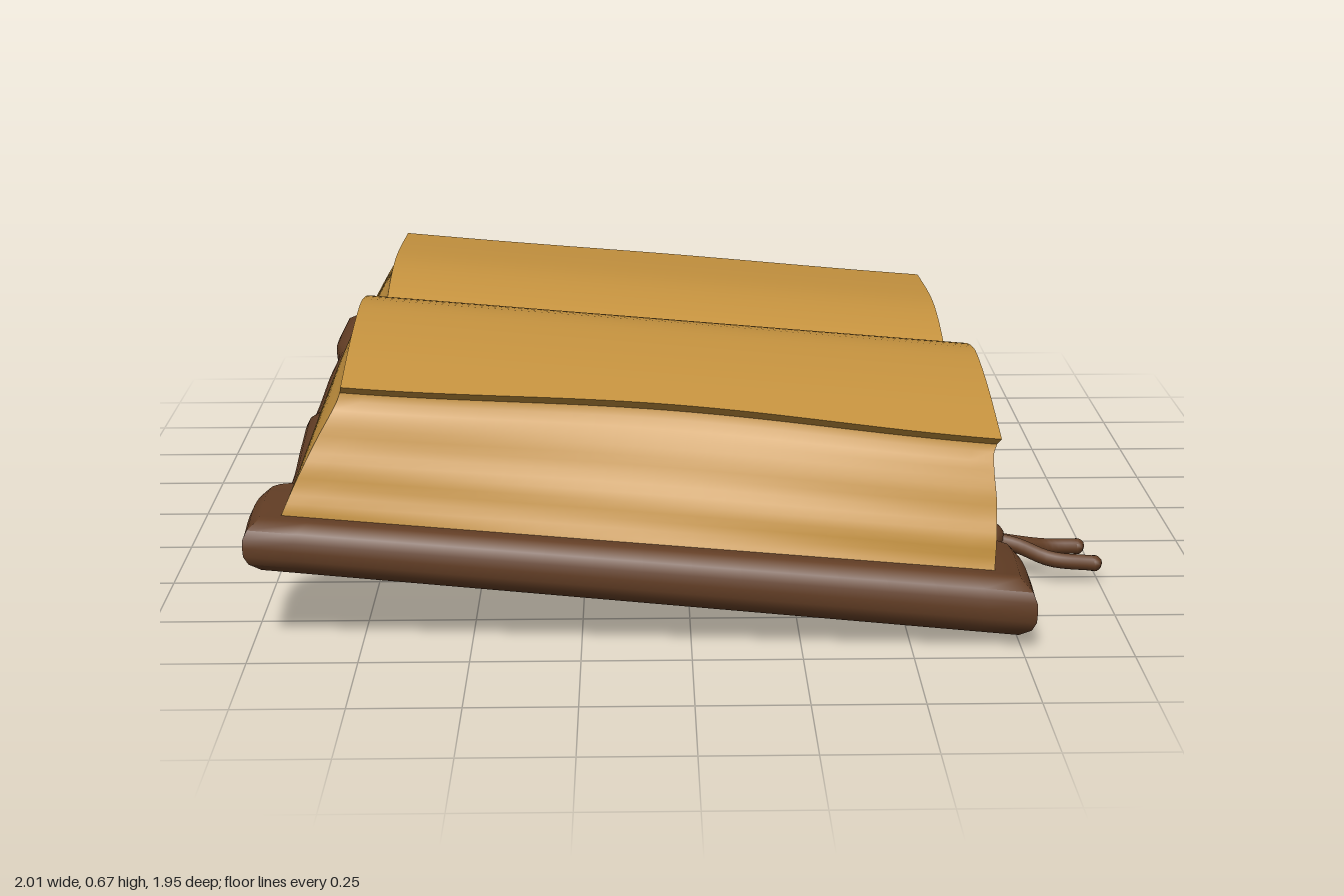
import * as THREE from 'three';
import { toCreasedNormals } from 'three/addons/utils/BufferGeometryUtils.js';

const lerp = THREE.MathUtils.lerp;

// Smooth value from a short table of [position, value] rows
function along(table, p) {
  const n = table.length - 1;
  if (p <= table[0][0]) return table[0][1];
  if (p >= table[n][0]) return table[n][1];
  let i = 0;
  while (p > table[i + 1][0]) i++;
  const slope = (k) => {
    const a = table[Math.max(k - 1, 0)], b = table[Math.min(k + 1, n)];
    return (b[1] - a[1]) / (b[0] - a[0]);
  };
  const [x0, y0] = table[i], [x1, y1] = table[i + 1];
  const w = x1 - x0, t = (p - x0) / w, t2 = t * t, t3 = t2 * t;
  return (2 * t3 - 3 * t2 + 1) * y0 + (t3 - 2 * t2 + t) * w * slope(i)
    + (3 * t2 - 2 * t3) * y1 + (t3 - t2) * w * slope(i + 1);
}

// Unit box whose vertices (0..1 on each axis) are moved by a rule
function shapedBox(sx, sy, sz, rule, crease) {
  const geo = new THREE.BoxGeometry(1, 1, 1, sx, sy, sz);
  const pos = geo.attributes.position;
  for (let i = 0; i < pos.count; i++) {
    const p = rule(pos.getX(i) + 0.5, pos.getY(i) + 0.5, pos.getZ(i) + 0.5);
    pos.setXYZ(i, p[0], p[1], p[2]);
  }
  return toCreasedNormals(geo, crease);
}

// Cover heights at the low end (x = 0.75); the whole book rises towards -x
const COVER_TOP = [[-0.98, 0.135], [-0.45, 0.135], [-0.3, 0.12], [-0.15, 0.105], [-0.02, 0.12], [0.08, 0.155], [0.2, 0.172], [0.5, 0.165], [0.97, 0.168]];
const COVER_BOTTOM = [[-0.98, 0.012], [-0.6, 0.022], [-0.38, 0.025], [-0.26, 0.004], [-0.12, 0.006], [0.02, 0.03], [0.15, 0.038], [0.97, 0.03]];
// Cover outline: wider at the corners and the spine
const COVER_RIGHT = [[-0.98, 0.77], [-0.75, 0.77], [-0.73, 0.735], [-0.5, 0.705], [-0.31, 0.72], [-0.27, 0.77], [-0.1, 0.778], [0.02, 0.77], [0.07, 0.73], [0.4, 0.73], [0.7, 0.735], [0.72, 0.78], [0.97, 0.78]];
const COVER_LEFT = [[-0.98, -0.985], [-0.72, -0.985], [-0.6, -0.965], [-0.1, -0.975], [0.3, -0.955], [0.69, -0.95], [0.72, -1], [0.97, -1]];

const coverTopY = (x, z) => along(COVER_TOP, z) - 0.09 * (x - 0.75);

// Page surface heights at x = 0.7, on both sides of the gutter
const GUTTER = -0.12;
const PAGE_TOP = {
  front: [[-0.12, 0.32], [-0.05, 0.375], [0.05, 0.45], [0.15, 0.5], [0.3, 0.535], [0.4, 0.54], [0.6, 0.515], [0.83, 0.465]],
  back: [[-0.89, 0.42], [-0.6, 0.438], [-0.45, 0.435], [-0.3, 0.408], [-0.2, 0.372], [-0.12, 0.32]],
};
// Outlines of the page edges from bottom (0) to top (1)
const EDGE = {
  front: [[0, 0.9], [0.2, 0.885], [0.5, 0.85], [0.8, 0.812], [0.92, 0.79], [1, 0.81]],
  back: [[0, -0.91], [0.15, -0.885], [0.5, -0.865], [0.88, -0.855], [1, -0.885]],
};
const LEFT_END = [[0, -0.925], [0.3, -0.885], [0.6, -0.84], [0.88, -0.795], [1, -0.785]];
const RIGHT_END = [[0, 0.69], [0.5, 0.695], [0.85, 0.69], [1, 0.705]];

export function createModel() {
  const book = new THREE.Group();
  book.name = 'openBook';
  const leather = new THREE.MeshStandardMaterial({ color: 0x633e25 });
  leather.name = 'brownLeather';
  const paper = new THREE.MeshStandardMaterial({ color: 0xc6933f });
  paper.name = 'agedPaper';
  const add = (name, geo, mat, parent = book) => {
    const mesh = new THREE.Mesh(geo, mat);
    mesh.name = name;
    parent.add(mesh);
    return mesh;
  };

  // Cover: a slab with rounded rims and a sagging spine
  add('cover', shapedBox(16, 6, 90, (u, v, w) => {
    const z0 = lerp(-0.98, 0.97, w);
    const inset = 0.035 * Math.pow(Math.abs(2 * v - 1), 3);
    const x = lerp(along(COVER_LEFT, z0) + inset, along(COVER_RIGHT, z0) - inset, u);
    const low = along(COVER_BOTTOM, z0) - 0.1 * (x - 0.75);
    return [x, lerp(low, coverTopY(x, z0), v), lerp(-0.98 + inset, 0.97 - inset, w)];
  }, 1.0), leather);

  // Page blocks: bulging tops, hollow flared sides
  for (const side of ['front', 'back']) {
    add(side + 'Pages', shapedBox(28, 16, 28, (u, v, w) => {
      const x = lerp(along(LEFT_END, v), along(RIGHT_END, v), u);
      const wobble = side === 'front' ? 0.02 * v * Math.cos(u * Math.PI * 2) : 0.006 * v * Math.sin(u * 9);
      const ripple = 0.004 * Math.sin(v * Math.PI * 6 + u * 3) * (1 - v);
      const edge = along(EDGE[side], v) + wobble + ripple;
      const rim = along(EDGE[side], 1) + wobble;
      const across = (e) => side === 'front' ? lerp(GUTTER, e, w) : lerp(e, GUTTER, w);
      const z = across(edge);
      const top = along(PAGE_TOP[side], across(rim)) - 0.088 * (x - 0.7);
      return [x, lerp(coverTopY(x, z) - 0.01, top, v), z];
    }, 0.7), paper);
  }

  // Ribbon bookmark: two tails leaving one knot under the cover edge
  const bookmark = new THREE.Group();
  bookmark.name = 'bookmark';
  book.add(bookmark);
  const tails = [
    [[0.7, 0.1, 0.47], [0.8, 0.085, 0.48], [0.88, 0.065, 0.45], [0.96, 0.06, 0.44]],
    [[0.7, 0.1, 0.47], [0.8, 0.085, 0.495], [0.88, 0.065, 0.54], [0.985, 0.055, 0.545]],
  ];
  tails.forEach((pts, i) => {
    const curve = new THREE.CatmullRomCurve3(pts.map((p) => new THREE.Vector3(...p)));
    add('bookmarkTail' + (i + 1), new THREE.TubeGeometry(curve, 16, 0.02, 8), leather, bookmark);
    const tip = add('bookmarkTip' + (i + 1), new THREE.SphereGeometry(0.02, 8, 6), leather, bookmark);
    tip.position.set(...pts[3]);
  });
  const knot = add('bookmarkKnot', new THREE.SphereGeometry(0.04, 12, 8), leather, bookmark);
  knot.position.set(0.735, 0.1, 0.48);
  return book;
}
